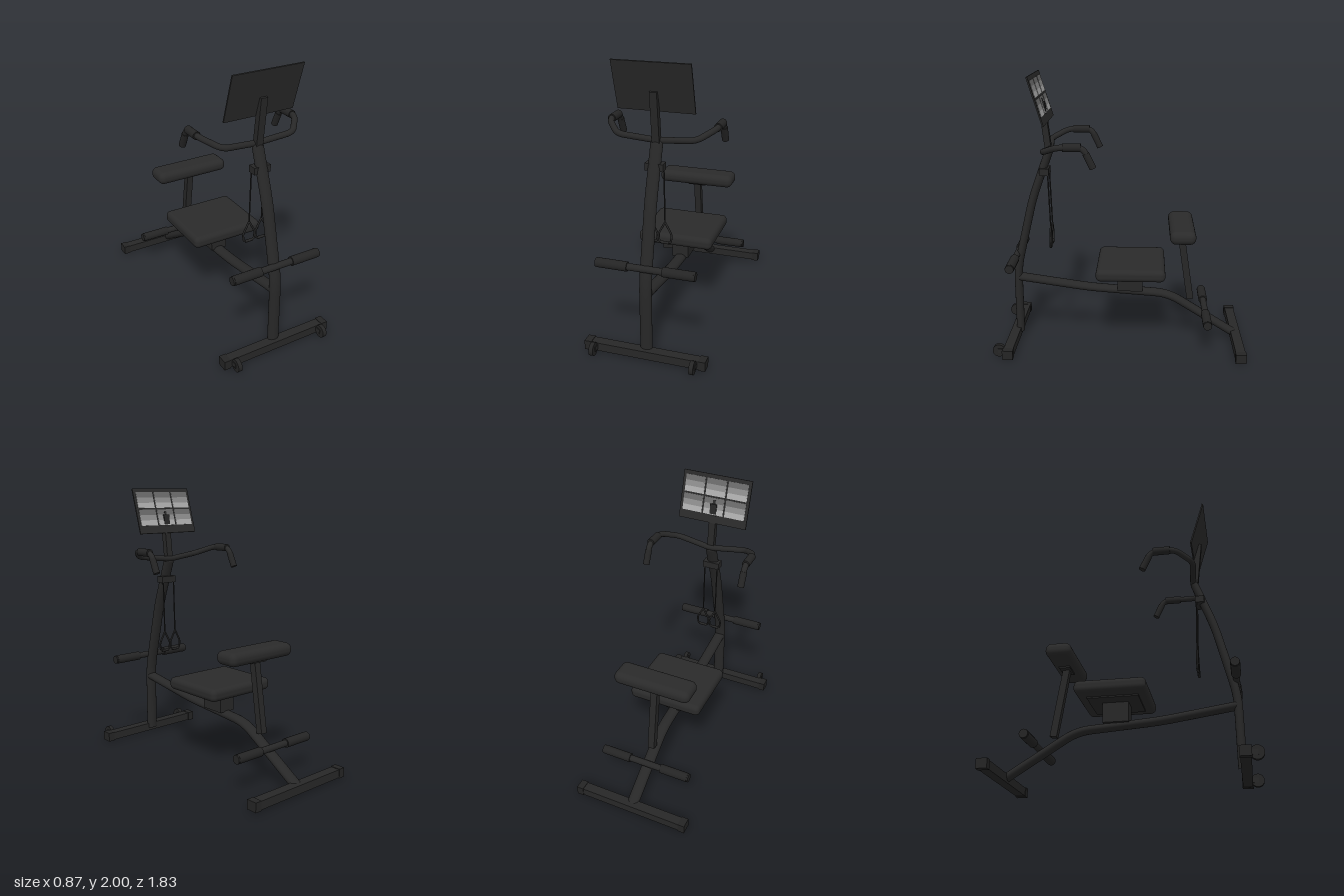
import * as THREE from 'three';
import { RoundedBoxGeometry } from 'three/addons/geometries/RoundedBoxGeometry.js';

const paint = (name, color) => {
  const m = new THREE.MeshStandardMaterial({ color });
  m.name = name;
  return m;
};

export function createModel() {
  const root = new THREE.Group();
  root.name = 'homeGymBench';
  const frame = paint('frame black', 0x272727);
  const pad = paint('pad black', 0x2a2a2a);
  const foam = paint('foam black', 0x242424);
  const greys = [
    paint('chart dark grey', 0x6a6a6a),
    paint('chart mid grey', 0x8c8c8c),
    paint('chart light grey', 0xacacac),
  ];
  const V = (x, y, z) => new THREE.Vector3(x, y, z);

  function add(name, geometry, material, x = 0, y = 0, z = 0, parent = root) {
    const mesh = new THREE.Mesh(geometry, material);
    mesh.name = name;
    mesh.position.set(x, y, z);
    parent.add(mesh);
    return mesh;
  }
  const box = (name, w, h, d, mat, x, y, z, parent) =>
    add(name, new THREE.BoxGeometry(w, h, d), mat, x, y, z, parent);

  // Capped round bar between two points
  function rod(name, a, b, r, mat, sides = 20) {
    const dir = b.clone().sub(a);
    const mesh = add(name, new THREE.CylinderGeometry(r, r, dir.length(), sides), mat);
    mesh.position.copy(a).add(b).multiplyScalar(0.5);
    mesh.quaternion.setFromUnitVectors(V(0, 1, 0), dir.normalize());
    return mesh;
  }

  // Square bar in the x = 0 plane between (y, z) points
  function post(name, y0, z0, y1, z1, w, d) {
    const mesh = box(name, w, Math.hypot(y1 - y0, z1 - z0), d, frame, 0, (y0 + y1) / 2, (z0 + z1) / 2);
    mesh.rotation.x = Math.atan2(z1 - z0, y1 - y0);
    return mesh;
  }

  // Polyline with rounded bends
  function bent(points, radius) {
    const path = new THREE.CurvePath();
    let from = points[0];
    for (let i = 1; i < points.length - 1; i++) {
      const p = points[i];
      const toward = (q) => p.clone().add(
        q.clone().sub(p).setLength(Math.min(radius, p.distanceTo(q) * 0.45)));
      const a = toward(points[i - 1]), b = toward(points[i + 1]);
      path.add(new THREE.LineCurve3(from, a));
      path.add(new THREE.QuadraticBezierCurve3(a, p, b));
      from = b;
    }
    path.add(new THREE.LineCurve3(from, points[points.length - 1]));
    return path;
  }

  // Oval frame tubes: round sweeps widened across x
  function ovalTube(name, yz, radius) {
    const path = bent(yz.map(([y, z]) => V(0, y, z)), radius);
    const g = new THREE.TubeGeometry(path, 90, 0.03, 24);
    g.scale(1.42, 1, 1);
    add(name, g, frame);
    const [y, z] = yz[yz.length - 1];
    const cap = add(name + 'End', new THREE.SphereGeometry(0.03, 24, 12), frame, 0, y, z);
    cap.scale.x = 1.42;
  }
  ovalTube('upright', [[0.04, 0.772], [0.56, 0.772], [1.1, 0.643], [1.45, 0.515]], 0.1);
  ovalTube('mainBeam', [[0.485, 0.765], [0.407, 0.23], [0.364, -0.36], [0.045, -0.87]], 0.1);

  // Feet with end caps, and transport wheels
  for (const [name, z] of [['frontFoot', 0.797], ['rearFoot', -0.873]]) {
    box(name, 0.82, 0.06, 0.07, frame, 0, 0.046, z);
    for (const s of [-1, 1]) box(name + 'Cap', 0.05, 0.068, 0.077, foam, s * 0.408, 0.046, z);
  }
  for (const s of [-1, 1]) {
    rod('transportWheel', V(s * 0.34, 0.05, 0.868), V(s * 0.37, 0.05, 0.868), 0.046, foam, 28);
    box('wheelBracket', 0.04, 0.035, 0.07, frame, s * 0.355, 0.05, 0.84);
  }

  // Leg rollers
  for (const [name, y, z] of [['frontLegRoller', 0.67, 0.772], ['rearLegRoller', 0.258, -0.635]]) {
    rod(name + 'Bar', V(-0.34, y, z), V(0.34, y, z), 0.024, frame);
    for (const s of [-1, 1]) {
      rod(name + 'Foam', V(s * 0.122, y, z), V(s * 0.335, y, z), 0.033, foam, 24);
      rod(name + 'Cap', V(s * 0.334, y, z), V(s * 0.346, y, z), 0.031, foam, 24);
    }
  }

  // Seat and backrest
  add('seatPad', new RoundedBoxGeometry(0.555, 0.09, 0.5, 5, 0.036), pad, 0, 0.597, -0.08);
  box('seatPlate', 0.34, 0.016, 0.36, frame, 0, 0.55, -0.075);
  box('seatPost', 0.125, 0.15, 0.185, frame, 0, 0.475, -0.073);
  add('backrestPad', new RoundedBoxGeometry(0.58, 0.096, 0.184, 5, 0.044), pad, 0, 0.888, -0.449);
  box('backrestPlate', 0.14, 0.016, 0.08, frame, 0, 0.836, -0.45);
  post('backrestPost', 0.33, -0.525, 0.84, -0.447, 0.05, 0.05);

  // Handlebar with grips
  const half = [[0.27, 1.497, 0.525], [0.37, 1.55, 0.405], [0.37, 1.55, 0.235], [0.37, 1.415, 0.172]];
  const side = (s) => half.map(([x, y, z]) => V(s * x, y, z));
  const barPath = bent([...side(-1).reverse(), V(0, 1.468, 0.5), ...side(1)], 0.05);
  add('handlebar', new THREE.TubeGeometry(barPath, 220, 0.021, 16), frame);
  for (const s of [-1, 1]) {
    rod('handlebarGrip', V(s * 0.37, 1.55, 0.25), V(s * 0.37, 1.55, 0.372), 0.028, foam, 24);
    rod('handlebarEndGrip', V(s * 0.37, 1.51, 0.217), V(s * 0.37, 1.41, 0.17), 0.024, foam);
  }

  // Pull cables with stirrup handles
  box('cableBracket', 0.126, 0.05, 0.066, frame, 0, 1.307, 0.547);
  for (const s of [-1, 1]) {
    rod('pullCable', V(s * 0.05, 1.3, 0.522), V(s * 0.05, 0.89, 0.51), 0.005, foam, 8);
    const loop = bent([[0.05, 0.9], [0.098, 0.81], [0.09, 0.75], [0.01, 0.75], [0.002, 0.81], [0.05, 0.9]]
      .map(([x, y]) => V(s * x, y, 0.51)), 0.02);
    add('pullHandle', new THREE.TubeGeometry(loop, 80, 0.007, 10), frame);
    rod('pullHandleGrip', V(s * 0.022, 0.75, 0.51), V(s * 0.078, 0.75, 0.51), 0.01, foam, 14);
  }

  // Mast and tilted exercise chart facing the user
  post('mast', 1.455, 0.515, 1.803, 0.556, 0.05, 0.045);
  const chart = new THREE.Group();
  chart.name = 'exerciseChart';
  chart.position.set(0, 1.833, 0.564);
  chart.rotation.x = Math.atan2(0.101, 0.333);
  root.add(chart);
  box('chartBoard', 0.525, 0.347, 0.01, pad, 0, 0, 0, chart);
  for (const x of [-0.165, 0, 0.165]) {
    for (const top of [0.145, 0.01]) {
      greys.forEach((mat, i) =>
        box('chartPanel', 0.152, 0.041, 0.004, mat, x, top - 0.0205 - i * 0.041, -0.006, chart));
    }
  }
  box('chartMark', 0.02, 0.03, 0.004, pad, 0, -0.02, -0.008, chart);

  return root;
}
